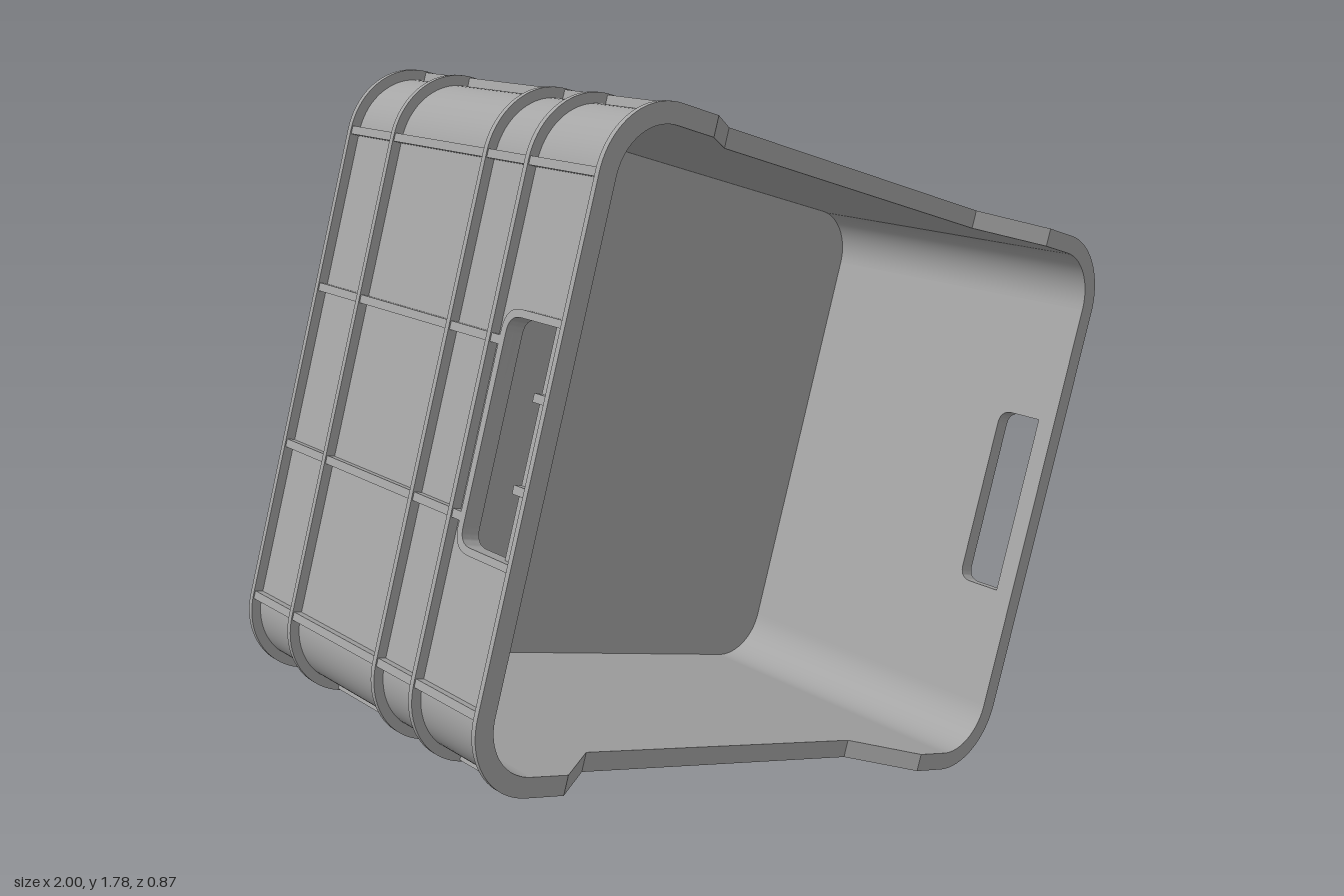
import * as THREE from 'three';
import { toCreasedNormals } from 'three/addons/utils/BufferGeometryUtils.js';

// Corner centres sit at (+-A, +-B); every outline is a rounded rectangle around them.
const A = 0.70, B = 0.53;
const R_OUT = 0.17, R_WALL = 0.148, R_IN = 0.126;
const Z_TOP = 0.431, Z_BOTTOM = -0.421;
const FLANGE = 0.012, RIB = 0.018;

const grey = new THREE.MeshStandardMaterial({ color: 0xa6a6a6 });
grey.name = 'grey plastic';

function addMesh(parent, name, geometry) {
  const mesh = new THREE.Mesh(toCreasedNormals(geometry, 0.6), grey);
  mesh.name = name;
  parent.add(mesh);
}

function extrude(shape, depth, z = 0) {
  const g = new THREE.ExtrudeGeometry(shape, { depth, bevelEnabled: false, curveSegments: 10 });
  return g.translate(0, 0, z);
}

function roundedRect(r, Type = THREE.Shape) {
  const s = new Type();
  const h = Math.PI / 2;
  s.absarc(A, B, r, 0, h);
  s.absarc(-A, B, r, h, 2 * h);
  s.absarc(-A, -B, r, 2 * h, 3 * h);
  s.absarc(A, -B, r, 3 * h, 4 * h);
  s.closePath();
  return s;
}

// Quarter ring standing at one corner
function cornerPiece(cx, cy, rOuter, rInner, z0, z1) {
  const start = Math.atan2(cy, cx) > 0 ? (cx > 0 ? 0 : 1) : (cx > 0 ? 3 : 2);
  const a = start * Math.PI / 2, b = a + Math.PI / 2;
  const s = new THREE.Shape();
  s.absarc(cx, cy, rOuter, a, b, false);
  s.absarc(cx, cy, rInner, b, a, true);
  s.closePath();
  return extrude(s, z1 - z0, z0);
}

const polygon = (pts) => new THREE.Shape(pts.map(([x, y]) => new THREE.Vector2(x, y)));

// U outline open towards the rim, with rounded lower corners
function gripOutline(w, top, bottom, r, Type = THREE.Shape) {
  const s = new Type();
  s.moveTo(w, top);
  s.lineTo(-w, top);
  s.lineTo(-w, bottom + r);
  s.quadraticCurveTo(-w, bottom, -w + r, bottom);
  s.lineTo(w - r, bottom);
  s.quadraticCurveTo(w, bottom, w, bottom + r);
  s.closePath();
  return s;
}

// Places a piece drawn as (along, z, outward) on the side facing the given normal
function sidePlacer(parent, nx, ny) {
  const n = new THREE.Vector3(nx, ny, 0), up = new THREE.Vector3(0, 0, 1);
  const along = new THREE.Vector3().crossVectors(up, n);
  const centre = nx ? A : B;
  const m = new THREE.Matrix4().makeBasis(along, up, n).setPosition(n.clone().multiplyScalar(centre));
  return {
    plate(name, shape, d0, d1) {
      addMesh(parent, name, extrude(shape, d1 - d0, d0).applyMatrix4(m));
    },
    rib(u, z0, z1, reach = R_OUT - 0.003) {
      const g = new THREE.BoxGeometry(RIB, z1 - z0, reach - R_WALL + 0.004);
      g.translate(u, (z0 + z1) / 2, (reach + R_WALL - 0.004) / 2);
      addMesh(parent, 'rib', g.applyMatrix4(m));
    },
  };
}

export function createModel() {
  const model = new THREE.Group();
  model.name = 'crate';
  const crate = new THREE.Group();
  crate.name = 'tiltedCrate';
  crate.rotation.z = -0.3142;
  crate.position.y = 0.89;
  model.add(crate);

  // Rounded corners of wall and rim
  for (const sx of [-1, 1]) for (const sy of [-1, 1]) {
    addMesh(crate, 'cornerWall', cornerPiece(sx * A, sy * B, R_WALL, R_IN, Z_BOTTOM, Z_TOP));
    addMesh(crate, 'cornerRim', cornerPiece(sx * A, sy * B, R_OUT, R_WALL, Z_TOP - FLANGE, Z_TOP));
  }

  // Flanges running all the way round
  const levels = [0.213, 0.078, -0.25, -0.415];
  for (const z of levels) {
    const ring = roundedRect(R_OUT);
    ring.holes.push(roundedRect(R_WALL - 0.003, THREE.Path));
    addMesh(crate, 'flange', extrude(ring, FLANGE, z - FLANGE / 2));
  }

  // Floor with a slightly raised foot panel underneath
  addMesh(crate, 'floor', extrude(roundedRect(R_IN + 0.01), 0.02, -0.42));
  addMesh(crate, 'footPanel', extrude(roundedRect(0.125), 0.02, -0.435));

  // Long sides with a trapezoid dip in the rim
  const dip = [[A, Z_TOP], [0.6, Z_TOP], [0.447, 0.312], [-0.447, 0.312], [-0.6, Z_TOP], [-A, Z_TOP]];
  const lowerDip = [[-A, Z_TOP - FLANGE], [-0.606, Z_TOP - FLANGE], [-0.453, 0.3],
    [0.453, 0.3], [0.606, Z_TOP - FLANGE], [A, Z_TOP - FLANGE]];
  for (const s of [-1, 1]) {
    const side = sidePlacer(crate, 0, s);
    side.plate('longWall', polygon([...dip, [-A, Z_BOTTOM], [A, Z_BOTTOM]]), R_IN, R_WALL);
    side.plate('longRim', polygon([...dip, ...lowerDip]), R_WALL, R_OUT);
    for (const m of [-1, 1]) {
      side.rib(m * A, levels[3], Z_TOP - 0.006);
      side.rib(m * 0.284, levels[2], levels[1]);
      for (const u of [0.155, 0.447]) {
        side.rib(m * u, levels[3], levels[2]);
        side.rib(m * u, levels[1], 0.305);
      }
    }
  }

  // Short sides with a grip hole framed by a raised edge
  for (const s of [-1, 1]) {
    const side = sidePlacer(crate, s, 0);
    const wall = polygon([[B, Z_TOP], [-B, Z_TOP], [-B, Z_BOTTOM], [B, Z_BOTTOM]]);
    wall.holes.push(gripOutline(0.23, 0.383, 0.262, 0.035, THREE.Path));
    side.plate('shortWall', wall, R_IN, R_WALL);
    side.plate('shortRim', polygon([[B, Z_TOP], [-B, Z_TOP], [-B, Z_TOP - FLANGE], [B, Z_TOP - FLANGE]]),
      R_WALL, R_OUT);
    const frame = gripOutline(0.246, 0.425, 0.246, 0.05);
    frame.holes.push(gripOutline(0.23, 0.4245, 0.262, 0.035, THREE.Path));
    side.plate('gripFrame', frame, R_WALL - 0.003, R_OUT - 0.002);
    for (const m of [-1, 1]) {
      side.rib(m * B, levels[3], Z_TOP - 0.006);
      side.rib(m * 0.178, levels[3], 0.25);
      side.rib(m * 0.09, 0.383, Z_TOP - 0.006);
    }
  }
  // The flange at the grip level ends below the hole, so the opening stays clear
  return model;
}
